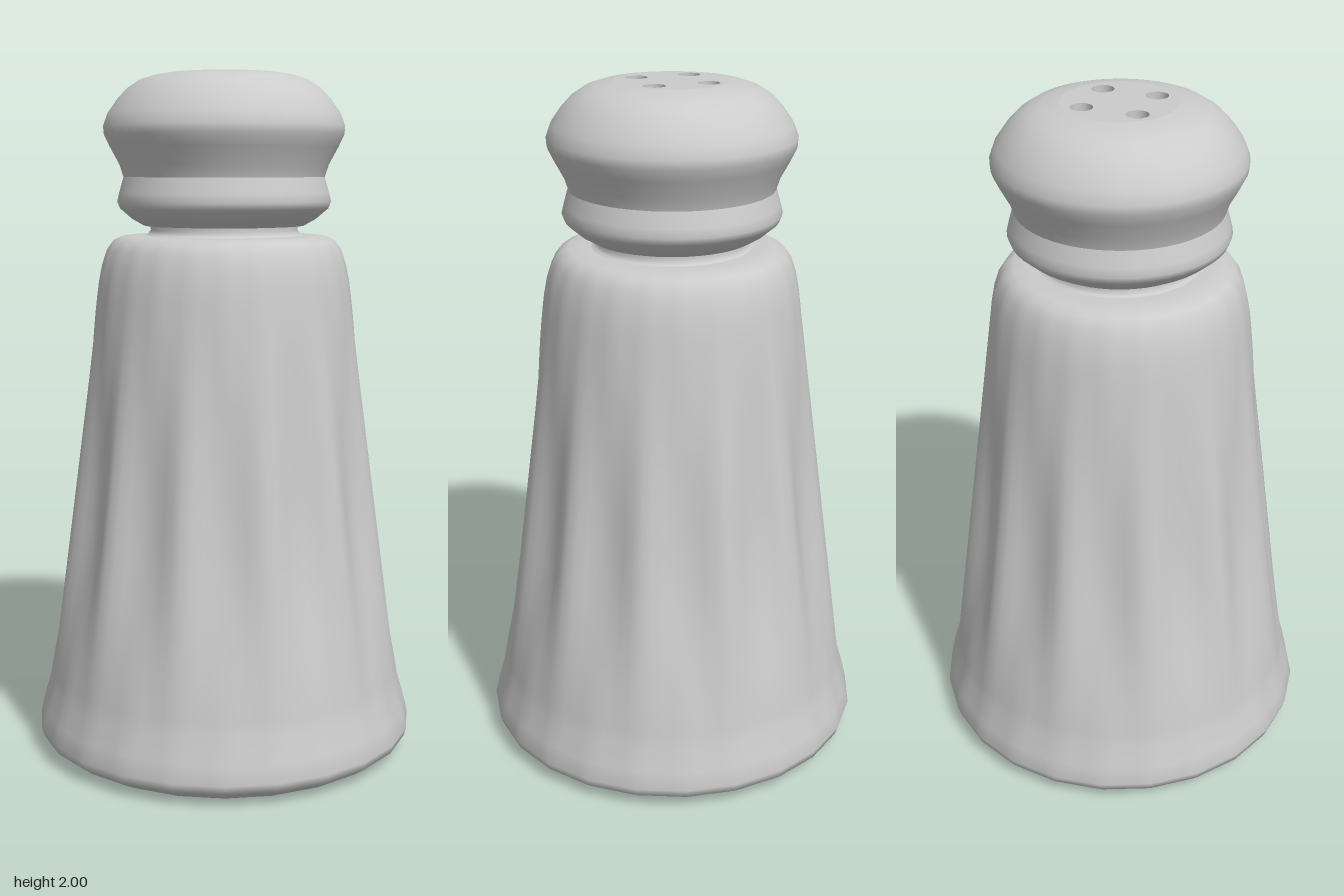
import * as THREE from 'three';

const material = () => new THREE.MeshStandardMaterial({ color: 0xcccccc });
const points = (list) => list.map(([r, y]) => new THREE.Vector2(r, y));

// Fluted glass body: rings on a 24-sided plan, with twelve shallow scoops pressed in
function bodyGeometry() {
  const segments = 96, side = Math.PI / 12;
  const profile = [[0, 0], [0.46, 0], [0.5, 0.004], [0.53, 0.02], [0.56, 0.042], [0.568, 0.068], [0.556, 0.12], [0.536, 0.19]];
  const rows = 28;
  for (let i = 1; i <= rows; i++) {
    const t = i / rows;
    profile.push([0.536 - 0.166 * t, 0.19 + 1.21 * t]);
  }
  profile.push([0.36, 1.45], [0.345, 1.495], [0.325, 1.522], [0.3, 1.534], [0.26, 1.537], [0.2, 1.538]);

  const position = [], index = [];
  profile.forEach(([radius, y], row) => {
    const rise = y < 0.72 ? (y - 0.15) / 0.57 : (1.38 - y) / 0.66;
    const scoop = 0.034 * THREE.MathUtils.smoothstep(rise, 0, 1);
    for (let i = 0; i < segments; i++) {
      const angle = (i / segments) * Math.PI * 2;
      const offset = (angle % side) - side / 2;
      const plan = Math.cos(side / 2) / Math.cos(offset);
      const flute = (1 - Math.cos(angle * 12)) / 2;
      const r = radius * plan - scoop * flute;
      position.push(r * Math.cos(angle), y, r * Math.sin(angle));
      if (row > 0) {
        const a = (row - 1) * segments + i, b = (row - 1) * segments + (i + 1) % segments;
        index.push(a, a + segments, b, b, a + segments, b + segments);
      }
    }
  });
  const geometry = new THREE.BufferGeometry();
  geometry.setAttribute('position', new THREE.Float32BufferAttribute(position, 3));
  geometry.setIndex(index);
  geometry.computeVertexNormals();
  return geometry;
}

export function createModel() {
  const group = new THREE.Group();
  const add = (name, geometry, parent = group) => {
    const mesh = new THREE.Mesh(geometry, material());
    mesh.name = name;
    parent.add(mesh);
    return mesh;
  };

  add('body', bodyGeometry());

  // Short neck joining the body and the cap
  add('neck', new THREE.LatheGeometry(points([
    [0.25, 1.53], [0.225, 1.54], [0.215, 1.552], [0.22, 1.575],
  ]), 48));

  // Cap: lower lip, groove, flared bulb and rounded shoulder
  const cap = new THREE.Group();
  cap.name = 'cap';
  group.add(cap);
  add('capUnderside', new THREE.LatheGeometry(points([[0.18, 1.562], [0.235, 1.565]]), 48), cap);
  add('capLip', new THREE.LatheGeometry(points([
    [0.235, 1.565], [0.27, 1.585], [0.305, 1.615], [0.313, 1.635], [0.307, 1.66], [0.294, 1.705],
  ]), 48), cap);
  add('capBulb', new THREE.LatheGeometry(points([
    [0.294, 1.705], [0.305, 1.74], [0.332, 1.79], [0.349, 1.825], [0.351, 1.85], [0.338, 1.885],
    [0.31, 1.925], [0.28, 1.957], [0.245, 1.98], [0.205, 1.993], [0.16, 2],
  ]), 48), cap);

  // Top plate with four pouring holes
  const plate = new THREE.Shape().absarc(0, 0, 0.16, 0, Math.PI * 2);
  for (const x of [-0.078, 0.078]) {
    for (const z of [-0.078, 0.078]) {
      plate.holes.push(new THREE.Path().absarc(x, z, 0.031, 0, Math.PI * 2, true));
    }
  }
  const top = add('capTop', new THREE.ExtrudeGeometry(plate, { depth: 0.04, bevelEnabled: false, curveSegments: 24 }), cap);
  top.rotation.x = -Math.PI / 2;
  top.position.y = 1.96;

  // Floor closing the holes
  const floor = add('holeFloor', new THREE.CircleGeometry(0.16, 48), cap);
  floor.rotation.x = -Math.PI / 2;
  floor.position.y = 1.961;

  return group;
}
